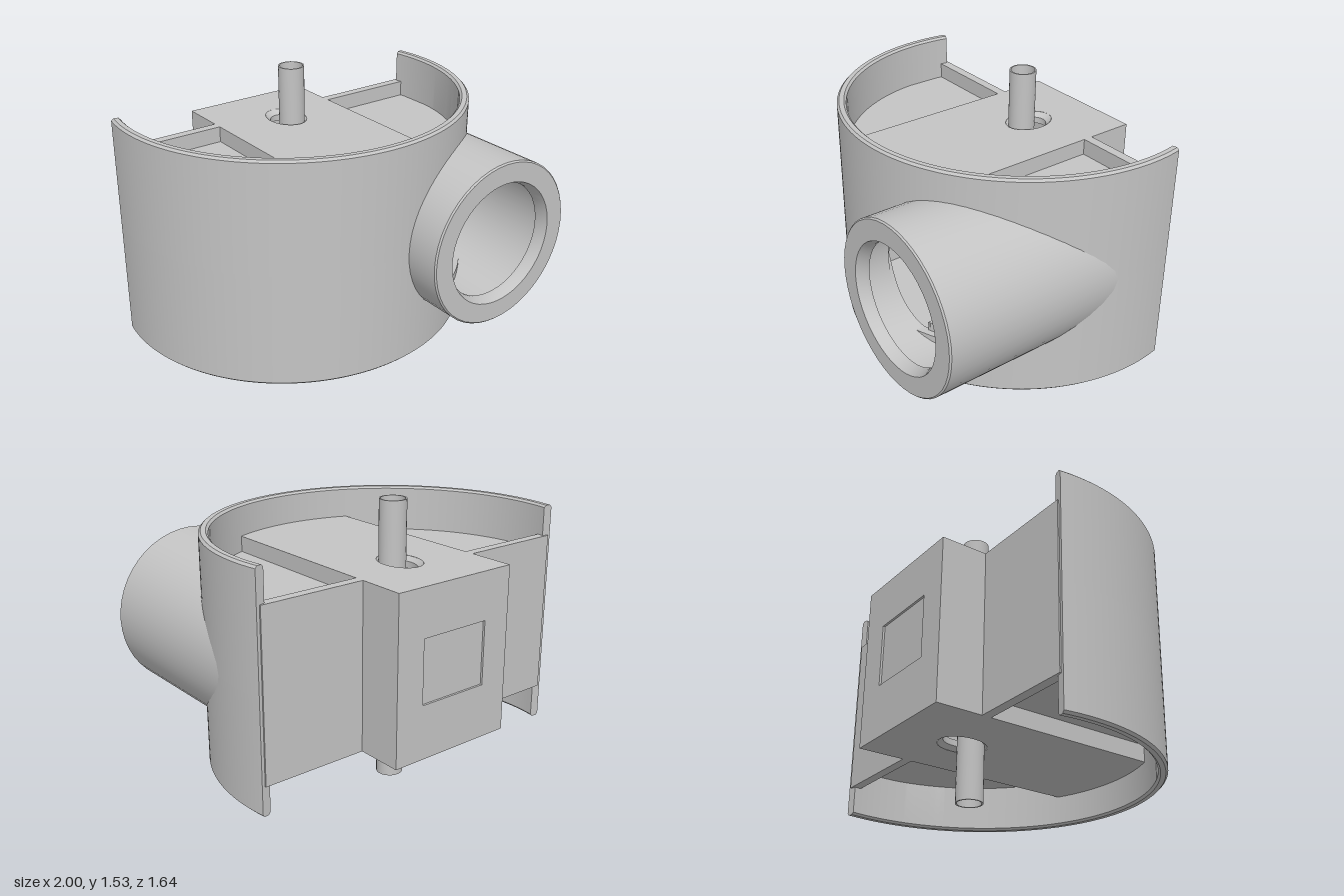
import * as THREE from 'three';
import { toCreasedNormals } from 'three/addons/utils/BufferGeometryUtils.js';

const CZ = -0.38;                                  // centre of the round shell
const PIPE = { x: 0.523, y: 0.765, r: 0.463, inner: 0.41, front: 0.82 };
const arcZ = (x, r) => CZ + Math.sqrt(Math.max(0, r * r - x * x));

// Surface through columns of points
function grid(cols) {
  const pos = [];
  for (let i = 0; i < cols.length - 1; i++) {
    for (let j = 0; j < cols[0].length - 1; j++) {
      const a = cols[i][j], b = cols[i + 1][j], c = cols[i + 1][j + 1], d = cols[i][j + 1];
      pos.push(...a, ...b, ...c, ...a, ...c, ...d);
    }
  }
  const g = new THREE.BufferGeometry();
  g.setAttribute('position', new THREE.Float32BufferAttribute(pos, 3));
  return toCreasedNormals(g, 0.6);
}

// Half of the curved wall, below or above the middle of the pipe opening
function wallHalf(upper) {
  const cols = [], n = 110, end = 1.752, bevel = 0.012;
  for (let i = 0; i <= n; i++) {
    const t = -end + (2 * end * i) / n;
    const at = (r, y) => [r * Math.sin(t), y, CZ + r * Math.cos(t)];
    const gap = (r) => {
      const dx = r * Math.sin(t) - PIPE.x;
      const open = Math.sqrt(Math.max(0, 0.415 ** 2 - dx * dx));
      return Math.cos(t) < 0 ? 0 : Math.min(0.36, open);
    };
    const lo = 0.125 + 0.017 * Math.sin(t), hi = 1.39 + 0.006 * Math.sin(t);
    const o = 1, k = 0.95;
    cols.push(upper
      ? [at(o, PIPE.y + gap(o)), at(o, hi - bevel), at(o - bevel, hi), at(k + bevel, hi),
        at(k, hi - bevel), at(k, PIPE.y + gap(k)), at(o, PIPE.y + gap(o))]
      : [at(k, PIPE.y - gap(k)), at(k, lo + bevel), at(k + bevel, lo), at(o - bevel, lo),
        at(o, lo + bevel), at(o, PIPE.y - gap(o)), at(k, PIPE.y - gap(k))]);
  }
  // close both ends by collapsing an extra column to its middle
  const cap = (c) => {
    const m = [0, 1, 2].map((k) => (c[1][k] + c[4][k]) / 2);
    return c.map(() => m);
  };
  return grid([cap(cols[0]), ...cols, cap(cols[n])]);
}

// Hollow pipe with a short front lip, its rear edges trimmed to the curved wall
function pipeGeometry() {
  const cols = [], n = 48, f = PIPE.front;
  for (let i = 0; i <= n; i++) {
    const t = (i / n) * Math.PI * 2;
    const at = (r, z) => {
      const x = PIPE.x + r * Math.cos(t);
      return [x, PIPE.y + r * Math.sin(t), typeof z === 'number' ? z : z(x)];
    };
    cols.push([
      at(PIPE.r, (x) => arcZ(x, 1) - 0.02), at(PIPE.r, f - 0.008), at(PIPE.r - 0.008, f),
      at(0.347, f), at(0.327, f - 0.05), at(0.327, f - 0.07), at(PIPE.inner, f - 0.07),
      at(PIPE.inner, (x) => arcZ(x, 0.97)),
    ]);
  }
  return grid(cols);
}

// Plan outline from a straight back edge to the round wall
function plan(x0, x1, back) {
  const s = new THREE.Shape();
  s.moveTo(x0, -back);
  s.lineTo(x1, -back);
  for (let i = 0; i <= 20; i++) {
    const x = x1 + ((x0 - x1) * i) / 20;
    s.lineTo(x, -Math.max(back, arcZ(x, 0.965)));
  }
  return s;
}

function slab(shape, y0, y1) {
  return new THREE.ExtrudeGeometry(shape, { depth: y1 - y0, bevelEnabled: false, curveSegments: 24 })
    .rotateX(-Math.PI / 2).translate(0, y0, 0);
}

function box(x0, x1, y0, y1, z0, z1) {
  return new THREE.BoxGeometry(x1 - x0, y1 - y0, z1 - z0)
    .translate((x0 + x1) / 2, (y0 + y1) / 2, (z0 + z1) / 2);
}

// Turned part from [radius, height] pairs
function turned(points) {
  const g = new THREE.LatheGeometry(points.map(([r, y]) => new THREE.Vector2(r, y)), 24);
  return toCreasedNormals(g, 0.6);
}

export function createModel() {
  const model = new THREE.Group();
  const grey = new THREE.MeshStandardMaterial({ color: 0xc4c4c4 });
  grey.name = 'grey';
  const add = (name, geometry) => {
    const m = new THREE.Mesh(geometry, grey);
    m.name = name;
    model.add(m);
  };

  // Curved wall and front pipe
  add('lowerCurvedWall', wallHalf(false));
  add('upperCurvedWall', wallHalf(true));
  add('frontPipe', pipeGeometry());

  // Central housing: top and bottom plates with bevelled oval slots
  const plate = plan(-0.37, 0.375, -0.825);
  const slot = new THREE.Path();
  slot.absellipse(0.015, 0.425, 0.105, 0.14, 0, Math.PI * 2, true);
  plate.holes.push(slot);
  add('housingTop', slab(plate, 1.155, 1.213));
  add('housingBottom', slab(plate, 0.303, 0.36));
  const rims = {
    topSlotRim: [[0.105, 1.213], [0.08, 1.19], [0.08, 1.155], [0.105, 1.155]],
    bottomSlotRim: [[0.105, 0.36], [0.08, 0.36], [0.08, 0.325], [0.105, 0.303]],
  };
  for (const [name, points] of Object.entries(rims)) {
    add(name, turned(points).scale(1, 1, 1.333).translate(0.015, 0, -0.425));
  }

  // Housing back with a shallow square recess
  const back = new THREE.Shape();
  back.moveTo(-0.37, 0.36).lineTo(0.375, 0.36).lineTo(0.375, 1.155).lineTo(-0.37, 1.155);
  const recess = new THREE.Path();
  recess.moveTo(-0.207, 0.6).lineTo(-0.207, 0.95).lineTo(0.207, 0.95).lineTo(0.207, 0.6);
  back.holes.push(recess);
  add('housingBack', new THREE.ExtrudeGeometry(back, { depth: 0.045, bevelEnabled: false })
    .translate(0, 0, -0.825));
  add('recessPanel', box(-0.215, 0.215, 0.59, 0.96, -0.813, -0.785));

  // Side chambers: rear wall, upper and lower decks, and steps to the housing
  for (const [side, s] of [['left', 1], ['right', -1]]) {
    const span = (a, b) => (s > 0 ? [a, b] : [-b, -a]);
    const edge = s > 0 ? 0.375 : 0.37;
    const inner = edge - 0.012;
    add(side + 'HousingSide', box(...span(inner, edge), 0.36, 1.155, -0.78, -0.512));
    add(side + 'RearWall', box(...span(inner, 0.965), 0.303, 1.213, -0.565, -0.512));
    const deck = plan(...span(inner, 0.945), -0.54);
    add(side + 'UpperDeck', slab(deck, 1.07, 1.125));
    add(side + 'LowerDeck', slab(deck, 0.4, 0.455));
    add(side + 'UpperStep', box(...span(inner, edge), 1.07, 1.155, -0.54, 0.51));
    add(side + 'LowerStep', box(...span(inner, edge), 0.36, 0.455, -0.54, 0.51));
  }

  // Thin open tube through both slots
  add('spindle', turned([[0.064, 0], [0.072, 0], [0.072, 1.53], [0.064, 1.53], [0.064, 0]])
    .translate(0.018, 0, -0.37));
  return model;
}
